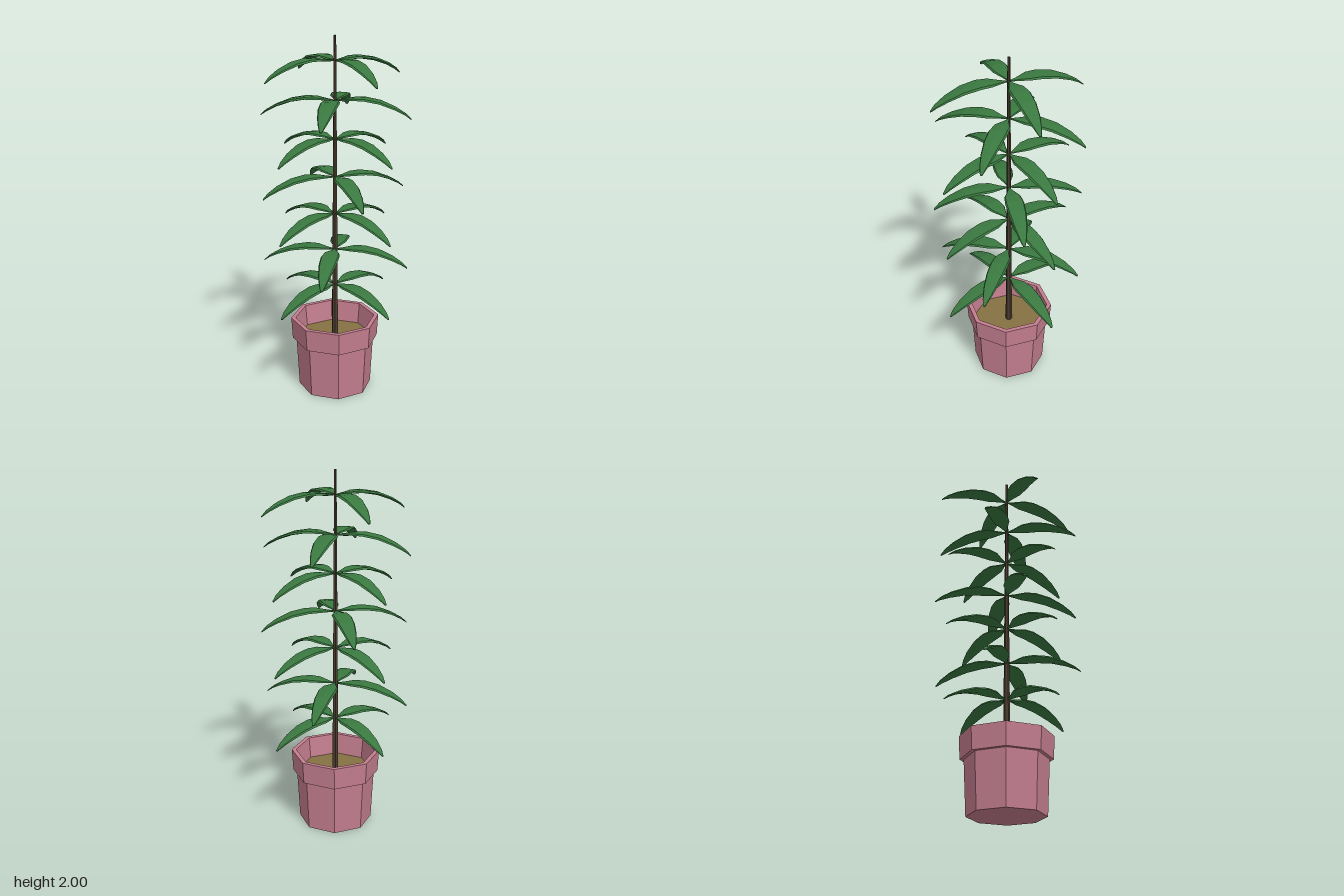
import * as THREE from 'three';

const mat = (color, extra = {}) => new THREE.MeshStandardMaterial({ color, flatShading: true, ...extra });

// Closed leaf lofted along +x: stations are [distance, height, half width, half thickness]
function leafGeometry() {
  const stations = [
    [0.01, -0.008, 0.005, 0.004], [0.045, -0.006, 0.017, 0.007], [0.1, 0, 0.044, 0.009],
    [0.16, 0, 0.05, 0.01], [0.24, -0.014, 0.046, 0.01], [0.32, -0.044, 0.034, 0.008],
    [0.375, -0.074, 0.019, 0.006], [0.405, -0.098, 0.006, 0.003],
  ];
  // Bevelled cross-section: [across, up]
  const section = [[-1, -0.2], [-0.86, 0.75], [0, 1], [0.86, 0.75], [1, -0.2], [0, -1]];
  const n = section.length, pos = [], idx = [];
  for (const [r, h, w, t] of stations)
    for (const [a, u] of section) pos.push(r, h + u * t, a * w);
  for (let i = 0; i < stations.length - 1; i++)
    for (let j = 0; j < n; j++) {
      const a = i * n + j, b = i * n + (j + 1) % n;
      idx.push(a, b, a + n, b, b + n, a + n);
    }
  const last = (stations.length - 1) * n;
  for (let j = 1; j < n - 1; j++) {
    idx.push(0, j + 1, j);
    idx.push(last, last + j, last + j + 1);
  }
  const g = new THREE.BufferGeometry();
  g.setAttribute('position', new THREE.Float32BufferAttribute(pos, 3));
  g.setIndex(idx);
  g.computeVertexNormals();
  return g;
}

export function createModel() {
  const model = new THREE.Group();
  const add = (name, geometry, material, y = 0) => {
    const mesh = new THREE.Mesh(geometry, material);
    mesh.name = name;
    mesh.position.y = y;
    model.add(mesh);
    return mesh;
  };

  // Octagonal pot: floor, tapered wall, overhanging rim and inner wall
  const profile = [[0, 0], [0.207, 0], [0.222, 0.295], [0.243, 0.295], [0.25, 0.42], [0.225, 0.42], [0.21, 0.27]]
    .map(([x, y]) => new THREE.Vector2(x, y));
  add('pot', new THREE.LatheGeometry(profile, 8), mat(0xc47e8f, { side: THREE.DoubleSide }));

  // Soil disc
  add('soil', new THREE.CylinderGeometry(0.212, 0.205, 0.03, 8), mat(0x857243), 0.285);

  // Tapered stem
  add('stem', new THREE.CylinderGeometry(0.007, 0.019, 1.71, 6), mat(0x4a3c2e), 1.145);

  // Seven whorls of four leaves, each whorl turned by its own angle
  const leaf = leafGeometry();
  const green = mat(0x3a7840);
  [40, 75, 40, 15, 40, 75, 25].forEach((turn, level) => {
    const whorl = new THREE.Group();
    whorl.name = `leafWhorl${level + 1}`;
    whorl.position.y = 0.63 + level * 0.2083;
    for (let k = 0; k < 4; k++) {
      const mesh = new THREE.Mesh(leaf, green);
      mesh.name = 'leaf';
      mesh.rotation.y = THREE.MathUtils.degToRad(turn + 90 * k);
      whorl.add(mesh);
    }
    model.add(whorl);
  });

  return model;
}
